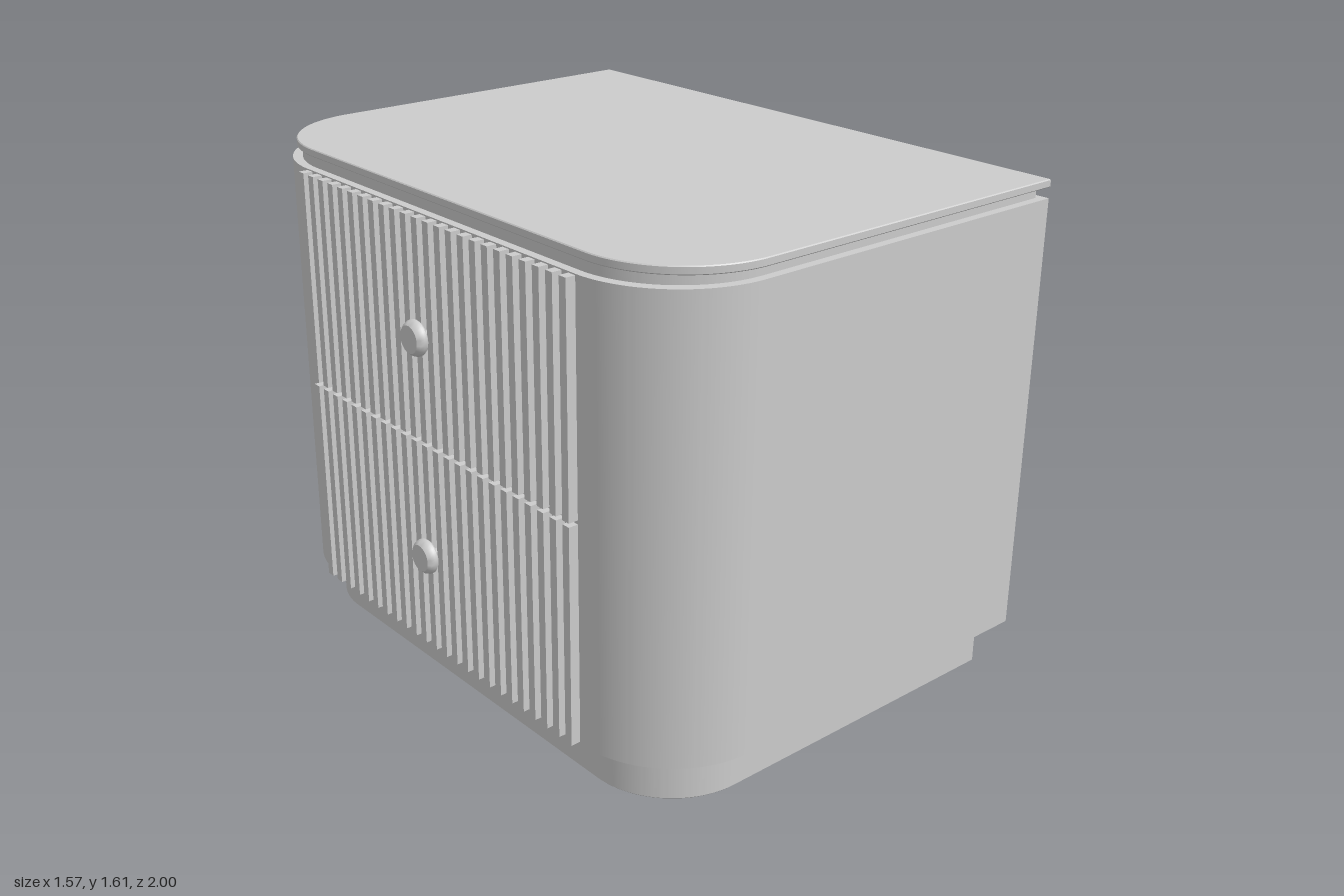
import * as THREE from 'three';
import { toCreasedNormals } from 'three/addons/utils/BufferGeometryUtils.js';

const material = new THREE.MeshStandardMaterial({ color: 0xcccccc });

function addMesh(parent, name, geometry, x = 0, y = 0, z = 0) {
  const mesh = new THREE.Mesh(geometry, material);
  mesh.name = name;
  mesh.position.set(x, y, z);
  parent.add(mesh);
  return mesh;
}

// Horizontal slab with its two -x corners rounded, from height y0 to y1
function slab(x0, x1, halfDepth, radius, y0, y1, bevel = 0) {
  const s = new THREE.Shape();
  s.moveTo(x1, -halfDepth);
  s.lineTo(x1, halfDepth);
  s.lineTo(x0 + radius, halfDepth);
  s.absarc(x0 + radius, halfDepth - radius, radius, Math.PI / 2, Math.PI, false);
  s.lineTo(x0, radius - halfDepth);
  s.absarc(x0 + radius, radius - halfDepth, radius, Math.PI, Math.PI * 1.5, false);
  s.closePath();
  const g = new THREE.ExtrudeGeometry(s, {
    depth: y1 - y0 - 2 * bevel,
    curveSegments: 24,
    bevelEnabled: bevel > 0,
    bevelSize: bevel,
    bevelThickness: bevel,
    bevelOffset: -bevel,
    bevelSegments: 1,
  });
  g.rotateX(-Math.PI / 2);
  g.translate(0, y0 + bevel, 0);
  return toCreasedNormals(g, 0.5);
}

// Round knob on a thin stem, pointing to -x
function knobGeometry() {
  const profile = [
    [0, 0], [0.013, 0], [0.013, 0.052], [0.05, 0.052], [0.055, 0.058],
    [0.055, 0.066], [0.05, 0.078], [0.042, 0.086], [0, 0.087],
  ].map(([r, h]) => new THREE.Vector2(r, h));
  const g = new THREE.LatheGeometry(profile, 32);
  g.rotateZ(Math.PI / 2);
  return toCreasedNormals(g, 0.6);
}

export function createModel() {
  const model = new THREE.Group();
  model.name = 'nightstand';

  // Carcass, from the floor up
  addMesh(model, 'plinth', slab(-0.632, 0.712, 0.933, 0.28, 0, 0.153, 0.004));
  addMesh(model, 'body', slab(-0.7, 0.779, 1, 0.34, 0.153, 1.556));
  addMesh(model, 'topRecess', slab(-0.673, 0.753, 0.973, 0.325, 1.55, 1.592));
  addMesh(model, 'topPanel', slab(-0.678, 0.781, 1, 0.33, 1.588, 1.613, 0.003));

  // Two slatted drawer fronts, each with a knob
  const slatCount = 24, pitch = 0.0563, slatHeight = 0.69;
  const slat = new THREE.BoxGeometry(0.04, slatHeight, 0.028);
  const knob = knobGeometry();
  [['lowerDrawer', 0.505], ['upperDrawer', 1.207]].forEach(([name, y]) => {
    const drawer = new THREE.Group();
    drawer.name = name;
    drawer.position.y = y;
    for (let i = 0; i < slatCount; i++) {
      addMesh(drawer, 'slat', slat, -0.711, 0, (i - (slatCount - 1) / 2) * pitch);
    }
    addMesh(drawer, 'knob', knob, -0.699, 0, 0);
    model.add(drawer);
  });

  return model;
}
